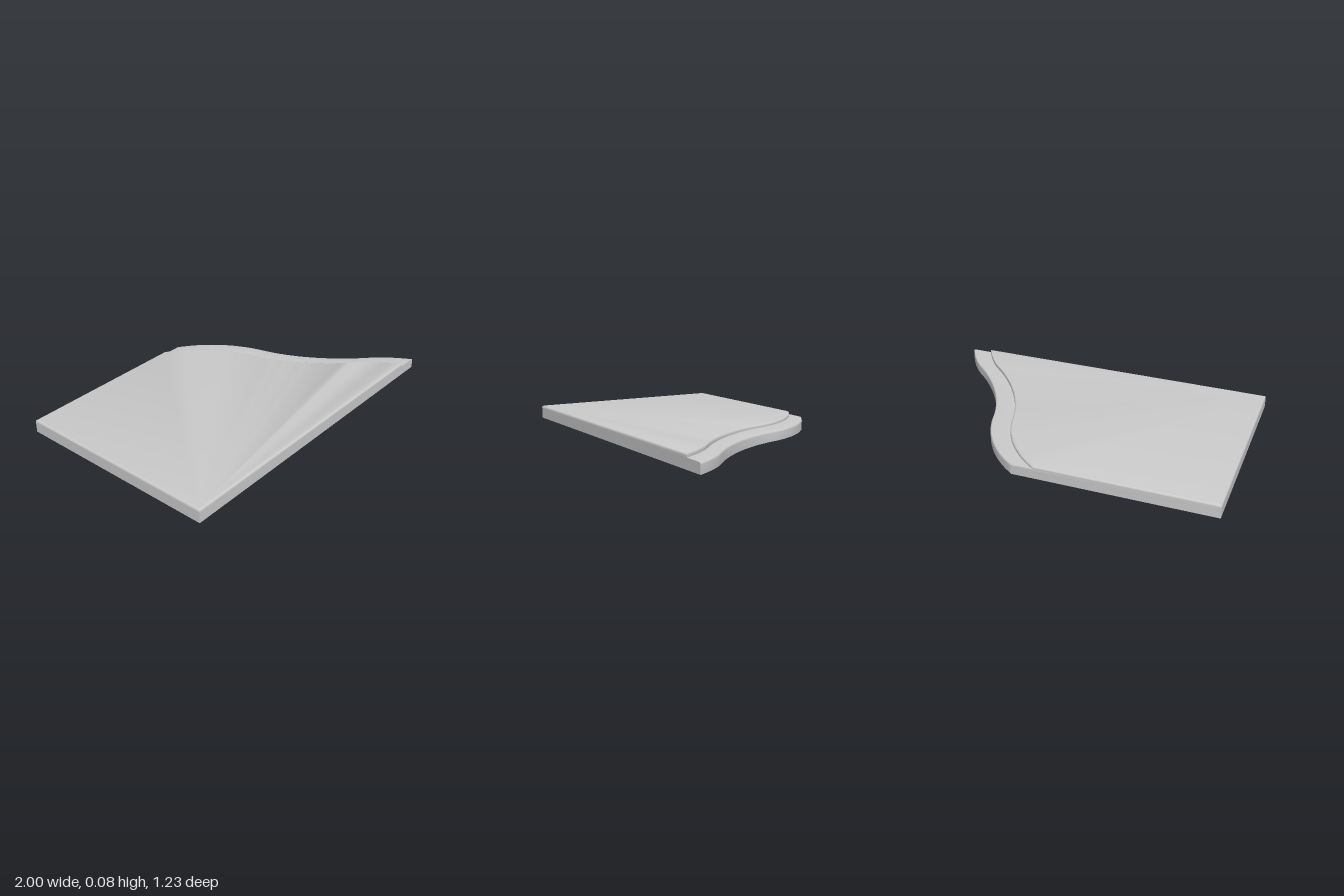
import * as THREE from 'three';
import { toCreasedNormals } from 'three/addons/utils/BufferGeometryUtils.js';

const HALF_DEPTH = 0.617;
const LIP = 0.128; // width of the step along the wavy edge
const R = 0.012; // edge rounding

// Wavy right-hand edge as (x, z) points, from back to front
function wavyEdge() {
  const v = (x, z) => new THREE.Vector2(x, z);
  const path = new THREE.CurvePath();
  path.add(new THREE.CubicBezierCurve(v(0.165, -HALF_DEPTH), v(0.33, -0.51), v(0.44, -0.35), v(0.485, -0.17)));
  path.add(new THREE.CubicBezierCurve(v(0.485, -0.17), v(0.53, 0.02), v(0.66, 0.23), v(0.83, 0.39)));
  path.add(new THREE.CubicBezierCurve(v(0.83, 0.39), v(0.90, 0.45), v(0.96, 0.54), v(1, HALF_DEPTH)));
  return path.getSpacedPoints(48);
}

// Outline (counterclockwise from above), inset at the wavy edge and at the straight edges
function outline(edge, waveInset, straightInset) {
  const s = (HALF_DEPTH - straightInset) / HALF_DEPTH;
  const left = -1 + straightInset;
  const points = [new THREE.Vector2(left, HALF_DEPTH * s)];
  for (let i = edge.length - 1; i >= 0; i--) {
    points.push(new THREE.Vector2(edge[i].x - waveInset, edge[i].y * s));
  }
  points.push(new THREE.Vector2(left, -HALF_DEPTH * s));
  return points;
}

// Closed solid through stacked outlines: levels are [y, waveInset, straightInset]
function loft(levels) {
  const edge = wavyEdge();
  const rings = levels.map(([, wave, straight]) => outline(edge, wave, straight));
  const n = rings[0].length;
  const positions = [];
  const index = [];
  rings.forEach((ring, k) => ring.forEach((p) => positions.push(p.x, levels[k][0], p.y)));
  for (let k = 0; k < rings.length - 1; k++) {
    for (let i = 0; i < n; i++) {
      const a = k * n + i;
      const b = k * n + (i + 1) % n;
      index.push(a, b, b + n, a, b + n, a + n);
    }
  }
  const cap = (ring) => THREE.ShapeUtils.triangulateShape(ring.map((p) => new THREE.Vector2(p.x, -p.y)), []);
  const top = (rings.length - 1) * n;
  cap(rings[0]).forEach(([a, b, c]) => index.push(a, c, b));
  cap(rings[rings.length - 1]).forEach(([a, b, c]) => index.push(top + a, top + b, top + c));
  const geometry = new THREE.BufferGeometry();
  geometry.setAttribute('position', new THREE.Float32BufferAttribute(positions, 3));
  geometry.setIndex(index);
  return toCreasedNormals(geometry, 0.6);
}

export function createModel() {
  const group = new THREE.Group();
  group.name = 'wavyBoard';

  const levels = [[0, 0, 0]];
  const steps = 4;
  // Lower lip, rounded only along the wave
  for (let i = 0; i <= steps; i++) {
    const t = (i / steps) * Math.PI / 2;
    levels.push([0.048 + R * Math.sin(t), R * (1 - Math.cos(t)), 0]);
  }
  // Raised panel, rounded on every top edge
  levels.push([0.06, LIP, 0]);
  for (let i = 0; i <= steps; i++) {
    const t = (i / steps) * Math.PI / 2;
    const inset = R * (1 - Math.cos(t));
    levels.push([0.068 + R * Math.sin(t), LIP + inset, inset]);
  }

  const board = new THREE.Mesh(loft(levels), new THREE.MeshStandardMaterial({ color: 0xcccccc }));
  board.name = 'steppedBoard';
  group.add(board);
  return group;
}
